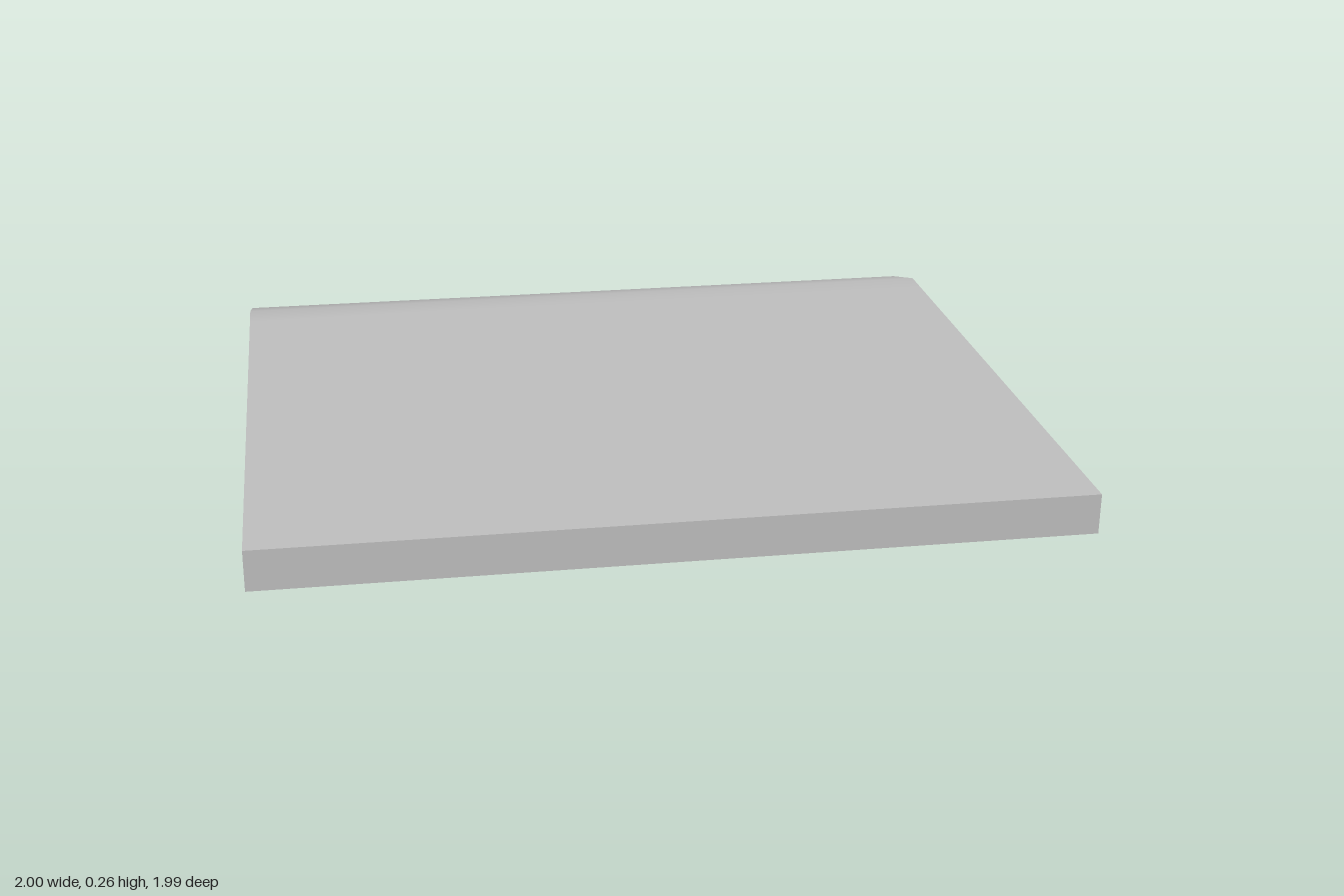
import * as THREE from 'three';
import { toCreasedNormals } from 'three/addons/utils/BufferGeometryUtils.js';

export function createModel() {
  const group = new THREE.Group();
  group.name = 'curvedPanel';

  const grey = new THREE.MeshStandardMaterial({ color: 0xc0c0c0 });
  grey.name = 'grey';

  // Side profile as [z, y]: flat slab, two slots underneath, drooping rear lip
  const profile = [
    [0.995, 0.16], [0.6, 0.16], [0.6, 0.21], [0.5, 0.21], [0.5, 0.16],
    [-0.4, 0.16], [-0.4, 0.21], [-0.505, 0.21], [-0.505, 0.16],
    [-0.61, 0.16], [-0.8, 0.105], [-0.948, 0],
    [-0.995, 0.077], [-0.995, 0.085], [-0.81, 0.2], [-0.605, 0.262],
    [-0.505, 0.262], [0.995, 0.262],
  ];
  const shape = new THREE.Shape(profile.map(([z, y]) => new THREE.Vector2(-z, y)));

  // Sweep the profile across the full width
  const geometry = new THREE.ExtrudeGeometry(shape, { depth: 2, bevelEnabled: false });
  geometry.translate(0, 0, -1);
  geometry.rotateY(Math.PI / 2);

  // Smooth over the bend, sharp on all corners
  const panel = new THREE.Mesh(toCreasedNormals(geometry, THREE.MathUtils.degToRad(25)), grey);
  panel.name = 'panel';
  group.add(panel);

  return group;
}
